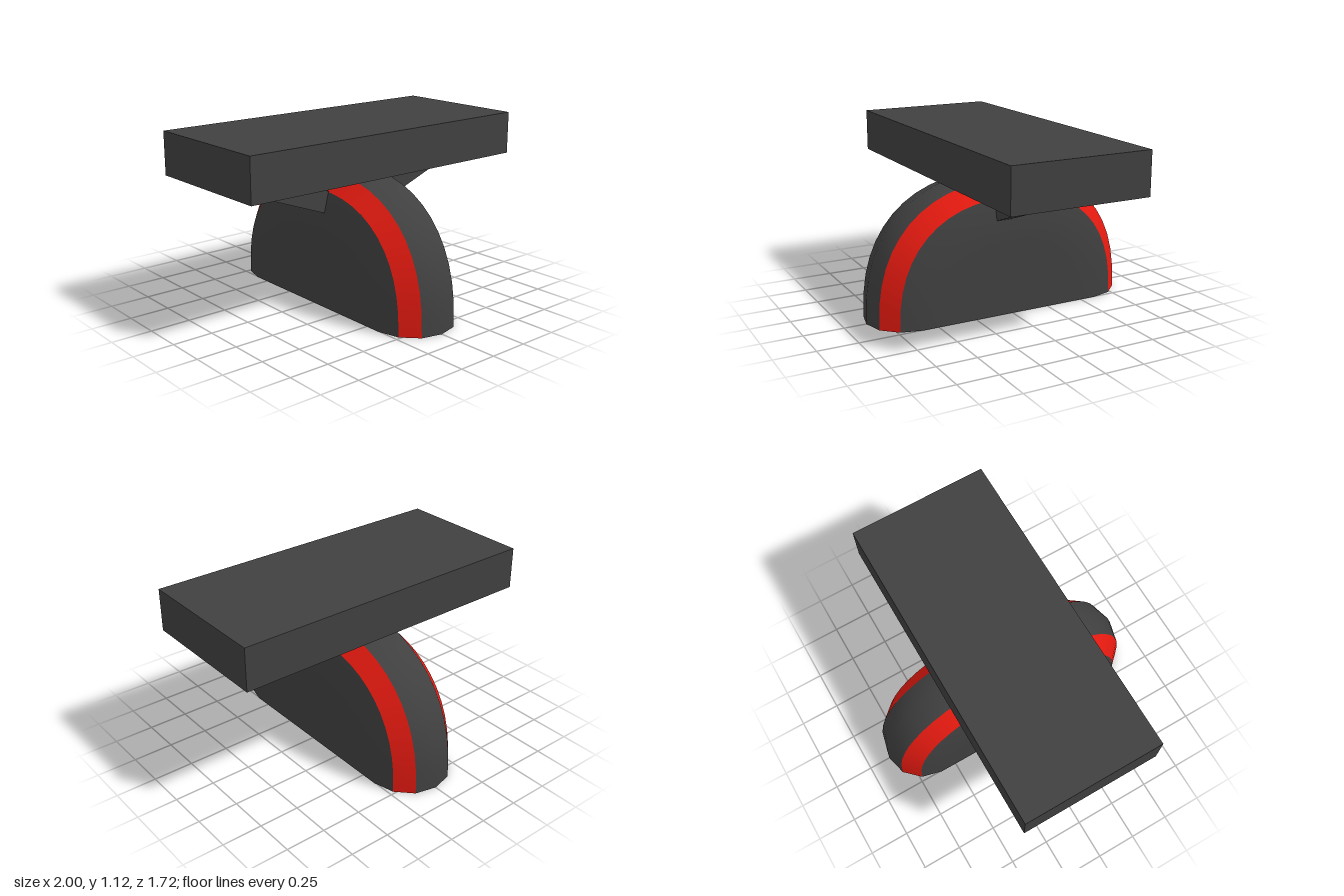
import * as THREE from 'three';

const SEGMENTS = 24;

// Open half-arch strip lofted through rings of [x, size], in order of rising x
function archStrip(rings) {
  const positions = [], index = [], row = SEGMENTS + 1, power = 2 / 2.4;
  for (const [x, size] of rings) {
    for (let j = 0; j <= SEGMENTS; j++) {
      const t = (j / SEGMENTS) * Math.PI;
      const c = Math.cos(t), s = Math.max(0, Math.sin(t));
      const y = j === SEGMENTS ? 0 : size * 0.995 * Math.pow(s, power);
      positions.push(x, y, size * Math.sign(c) * Math.pow(Math.abs(c), power));
    }
  }
  for (let i = 0; i < rings.length - 1; i++) {
    for (let j = 0; j < SEGMENTS; j++) {
      const a = i * row + j, b = a + row;
      index.push(a, b, a + 1, b, b + 1, a + 1);
    }
  }
  const geometry = new THREE.BufferGeometry();
  geometry.setAttribute('position', new THREE.Float32BufferAttribute(positions, 3));
  geometry.setIndex(index);
  geometry.computeVertexNormals();
  return geometry;
}

export function createModel() {
  const model = new THREE.Group();
  const dark = new THREE.MeshStandardMaterial({ color: 0x404040 });
  const darkShell = new THREE.MeshStandardMaterial({ color: 0x404040, side: THREE.DoubleSide });
  const redShell = new THREE.MeshStandardMaterial({ color: 0xe51a10, side: THREE.DoubleSide });

  const add = (name, geometry, material) => {
    const mesh = new THREE.Mesh(geometry, material);
    mesh.name = name;
    model.add(mesh);
    return mesh;
  };

  // Flat slab on top
  add('slab', new THREE.BoxGeometry(2, 0.265, 0.875), dark).position.y = 0.9825;

  // Hollow housing, open underneath: crown, stripes and flat sides
  add('crown', archStrip([[-0.13, 0.83], [0, 0.862], [0.13, 0.83]]), darkShell);
  const stripe = [[0.13, 0.83], [0.222, 0.735]];
  const side = [[0.222, 0.735], [0.255, 0.605], [0.255, 0.45], [0.255, 0]];
  const mirrored = (rings) => rings.map(([x, size]) => [-x, size]).reverse();
  add('leftStripe', archStrip(stripe), redShell);
  add('rightStripe', archStrip(mirrored(stripe)), redShell);
  add('leftSide', archStrip(side), darkShell);
  add('rightSide', archStrip(mirrored(side)), darkShell);

  // Slanted struts from the housing up to the slab
  for (const [name, s] of [['leftStrut', 1], ['rightStrut', -1]]) {
    const outline = [[0.22, 0.59], [0.255, 0.603], [0.93, 0.855], [0.54, 0.855], [0.2, 0.725]];
    const shape = new THREE.Shape(outline.map(([x, y]) => new THREE.Vector2(x * s, y)));
    const geometry = new THREE.ExtrudeGeometry(shape, { depth: 0.095, bevelEnabled: false });
    add(name, geometry, dark).position.z = 0.015;
  }
  return model;
}
